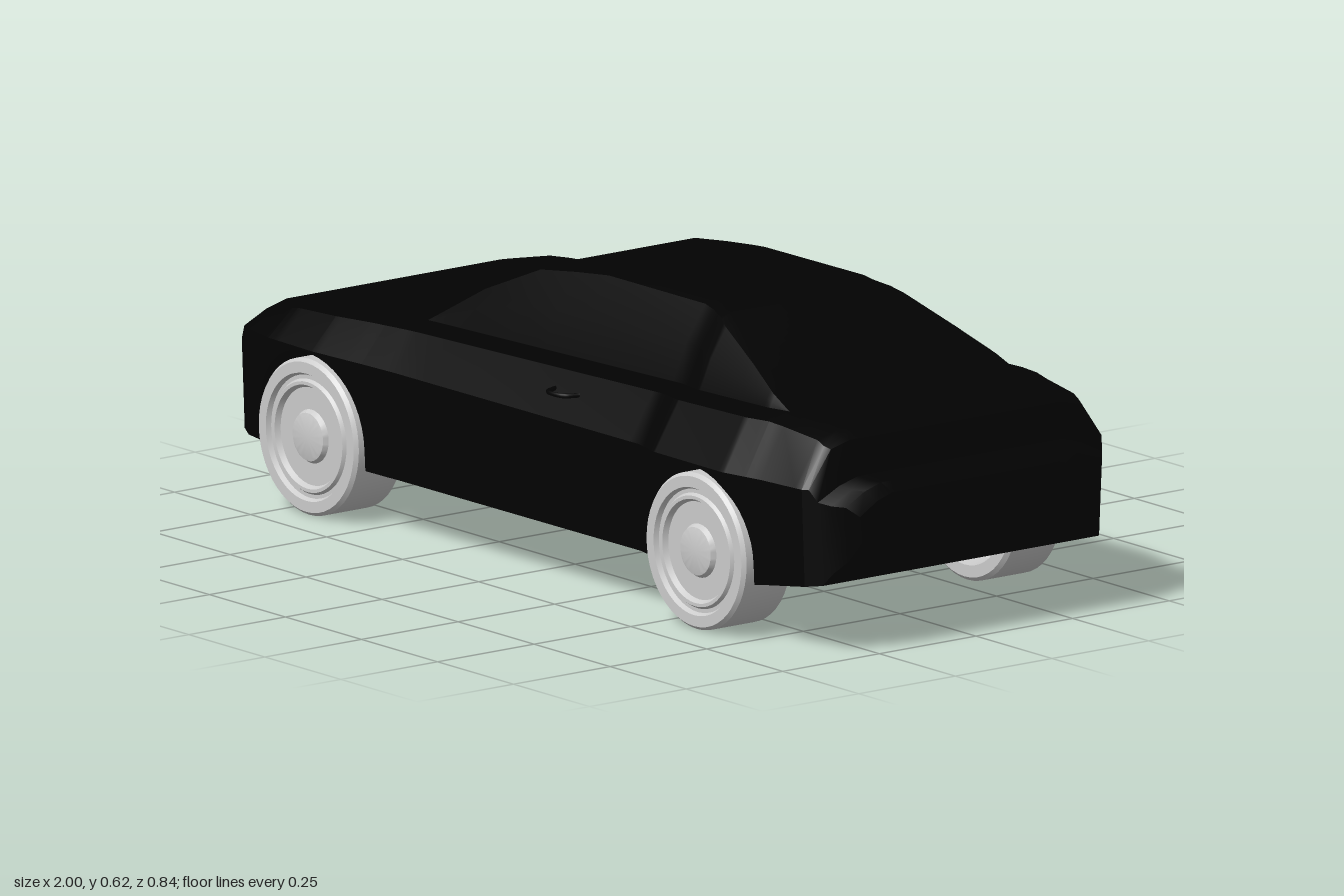
import * as THREE from 'three';
import { toCreasedNormals } from 'three/addons/utils/BufferGeometryUtils.js';

// Outlines along the car: [x, value]; the nose points to -x
const TOP = [[-1, .285], [-.99, .3], [-.962, .31], [-.945, .36], [-.915, .39], [-.78, .42], [-.55, .433], [-.43, .438],
  [-.3, .525], [-.16, .59], [-.05, .605], [.05, .616], [.37, .617], [.44, .604], [.6, .54], [.76, .47],
  [.9, .455], [.932, .44], [.947, .365], [.985, .355], [1, .335]];
const BOTTOM = [[-1, .17], [-.97, .125], [.77, .125], [.95, .15], [.985, .2], [1, .24]];
const WIDTH = [[-1, .28], [-.98, .32], [-.95, .365], [-.9, .395], [-.8, .415], [-.65, .42], [-.5, .41], [-.4, .405],
  [.4, .4], [.47, .418], [.7, .42], [.8, .4], [.92, .388], [.97, .35], [1, .3]];
const BELT = [[-1, .438], [-.43, .438], [.76, .47], [1, .47]];
const AXLES = [-.675, .6];
const ARCH = .175, ARCH_Y = .17, WELL = .28;

function at(line, x) {
  for (let i = 1; i < line.length; i++) {
    const [x0, v0] = line[i - 1], [x1, v1] = line[i];
    if (x <= x1) return v0 + (v1 - v0) * (x - x0) / (x1 - x0);
  }
  return line[line.length - 1][1];
}

const inArch = (x) => AXLES.some((c) => Math.abs(x - c) <= ARCH + 1e-6);

// Lower edge of the body side, following the wheel arches
function lowerEdge(x) {
  let y = at(BOTTOM, x);
  for (const c of AXLES) {
    const d = Math.abs(x - c);
    if (d <= ARCH + 1e-6) y = Math.max(y, ARCH_Y + Math.sqrt(Math.max(0, ARCH * ARCH - d * d)));
  }
  return y;
}

function stations() {
  const xs = [...TOP, ...BOTTOM, ...WIDTH].map((p) => p[0]);
  for (const c of AXLES) {
    for (let i = 0; i <= 24; i++) xs.push(c - ARCH * Math.cos(Math.PI * i / 24));
    xs.push(c - ARCH - .0005, c + ARCH + .0005);
  }
  return xs.sort((a, b) => a - b).filter((x, i, all) => i === 0 || x - all[i - 1] > 1e-5);
}

// Joins rows of points into a surface
function loft(rows) {
  const n = rows[0].length, index = [];
  for (let r = 0; r + 1 < rows.length; r++) {
    for (let k = 0; k + 1 < n; k++) {
      const a = r * n + k, b = a + n;
      index.push(a, b, a + 1, b, b + 1, a + 1);
    }
  }
  const g = new THREE.BufferGeometry();
  g.setAttribute('position', new THREE.Float32BufferAttribute(rows.flat(2), 3));
  g.setIndex(index);
  return toCreasedNormals(g, .45);
}

// Cross-section from the left lower edge over the roof to the right
function section(x) {
  const top = at(TOP, x), w = at(WIDTH, x), floor = at(BOTTOM, x), low = lowerEdge(x);
  const deck = Math.min(top, at(BELT, x));
  const belt = Math.min(.35, deck - .04);
  const deckW = w * .72;
  const rise = top - deck, roofW = deckW - rise * .53;
  const sill = Math.min(w * .98, .4);
  const side = (y) => sill + (w - sill) * Math.min(1, (y - floor) / (belt - floor));
  const mid = (low + belt) / 2;
  const half = [
    [low, side(low)], [mid, side(mid)], [belt, w],
    [deck - .013, w * .85], [deck, deckW],
    [deck + rise * .48, deckW - rise * .48 * .45],
    [top - rise * .05, roofW], [top, roofW - .028],
  ];
  return [
    ...half.map(([y, z]) => [x, y, z]),
    [x, top, 0],
    ...half.slice().reverse().map(([y, z]) => [x, y, -z]),
  ];
}

function wheelGeometry() {
  const profile = [
    [0, .05], [.045, .05], [.05, .06], [.105, .065], [.122, .05], [.13, 0], [.155, 0], [.163, .008],
    [.163, .122], [.156, .13], [.133, .13], [.128, .12], [.12, .12], [.115, .127], [.108, .127],
    [.102, .116], [.056, .116], [.05, .126], [.044, .128], [0, .128],
  ].map(([r, h]) => new THREE.Vector2(r, h));
  return toCreasedNormals(new THREE.LatheGeometry(profile, 48).rotateX(Math.PI / 2), .5);
}

export function createModel() {
  const car = new THREE.Group();
  car.name = 'car';
  const paint = new THREE.MeshStandardMaterial({ color: 0x020202, side: THREE.DoubleSide });
  const grey = new THREE.MeshStandardMaterial({ color: 0xcccccc, side: THREE.DoubleSide });
  const add = (name, geometry, material) => {
    const mesh = new THREE.Mesh(geometry, material);
    mesh.name = name;
    car.add(mesh);
    return mesh;
  };

  // Body shell, closed at nose and tail by rows folded to the centre line
  const xs = stations();
  const rows = xs.map(section);
  const fold = (row) => row.map(([x, y]) => [x, y, 0]);
  add('bodyShell', loft([fold(rows[0]), ...rows, fold(rows[rows.length - 1])]), paint);

  // Floor pan, narrowed between the wheels
  add('floorPan', loft(xs.map((x) => {
    const w = inArch(x) ? WELL : Math.min(at(WIDTH, x) * .98, .4);
    return [[x, at(BOTTOM, x), -w], [x, at(BOTTOM, x), w]];
  })), paint);

  // Wheels and door handles on both sides
  const wheel = wheelGeometry();
  for (const s of [1, -1]) {
    const sideName = s > 0 ? 'left' : 'right';
    AXLES.forEach((x, i) => {
      const mesh = add((i ? 'rearWheel' : 'frontWheel') + (s > 0 ? 'A' : 'B'), wheel, grey);
      mesh.position.set(x, .165, s * .285);
      mesh.rotation.y = s > 0 ? 0 : Math.PI;
    });
    const grip = new THREE.CatmullRomCurve3([
      new THREE.Vector3(.08, .402, s * .365), new THREE.Vector3(.095, .402, s * .395),
      new THREE.Vector3(.145, .402, s * .395), new THREE.Vector3(.16, .402, s * .365),
    ]);
    add('doorHandle' + (s > 0 ? 'A' : 'B'), new THREE.TubeGeometry(grip, 16, .005, 8), paint);
  }
  return car;
}
